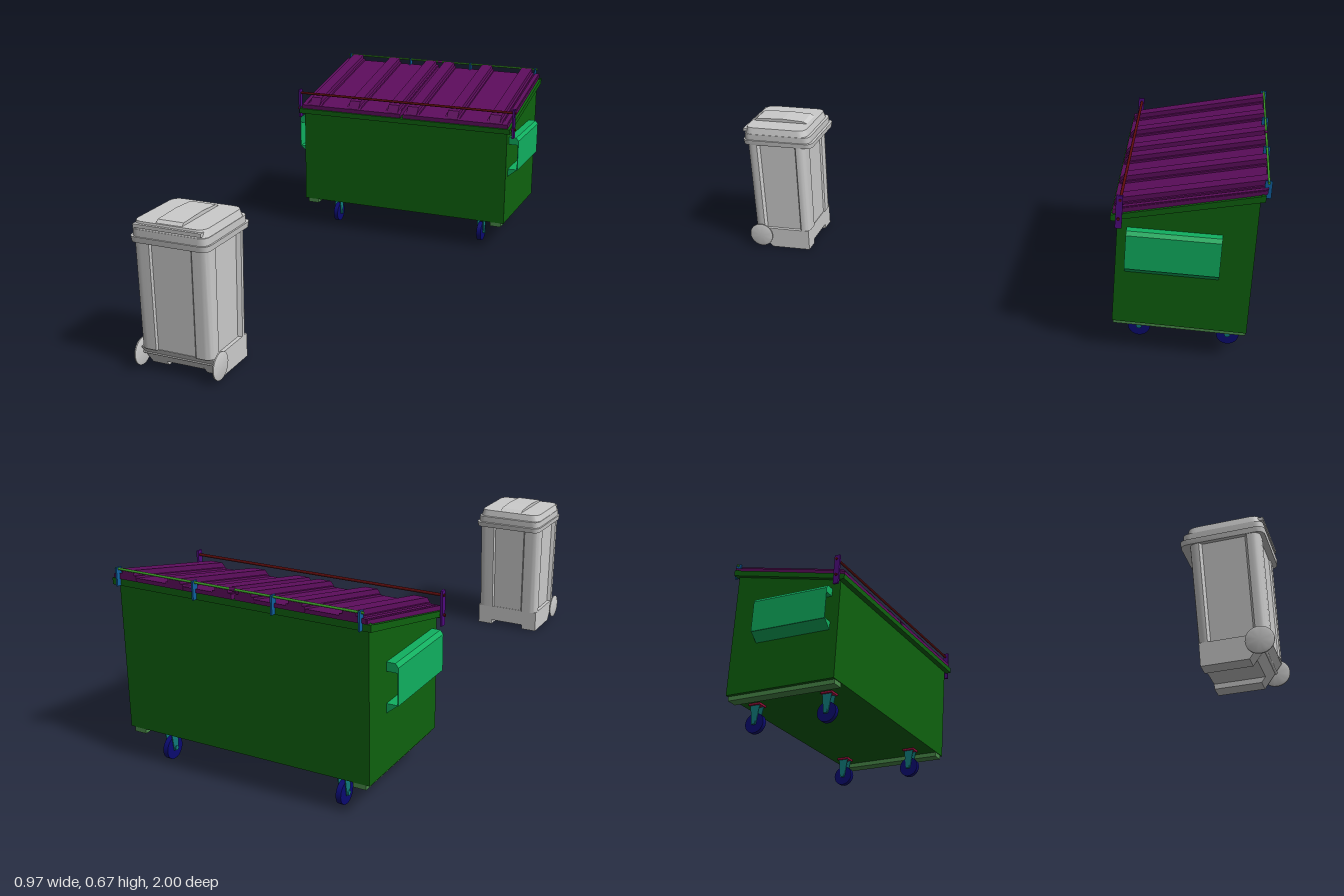
import * as THREE from 'three';
import { toCreasedNormals } from 'three/addons/utils/BufferGeometryUtils.js';

const mat = (color) => new THREE.MeshStandardMaterial({ color, side: THREE.DoubleSide });
const M = {
  green: mat(0x0e620e), purple: mat(0x5e0d5e), teal: mat(0x10b060), rail: mat(0x4a8a4a),
  navy: mat(0x0a0a70), fork: mat(0x0f7a7a), red: mat(0x5a0a0a), plate: mat(0xa01040),
  rod: mat(0x3c9c28), blue: mat(0x1060a0), post: mat(0x500a80), grey: mat(0xcccccc),
};

function add(parent, name, geo, material, x = 0, y = 0, z = 0) {
  const m = new THREE.Mesh(geo, material);
  m.name = name;
  m.position.set(x, y, z);
  parent.add(m);
  return m;
}

// Box given by its limits
function box(parent, name, material, [x0, x1], [y0, y1], [z0, z1]) {
  return add(parent, name, new THREE.BoxGeometry(x1 - x0, y1 - y0, z1 - z0), material,
    (x0 + x1) / 2, (y0 + y1) / 2, (z0 + z1) / 2);
}

const shapeOf = (pts) => new THREE.Shape(pts.map(([a, b]) => new THREE.Vector2(a, b)));

// Side profile of (z, y) points swept from x0 to x1
function prismX(parent, name, material, pts, x0, x1) {
  const g = new THREE.ExtrudeGeometry(shapeOf(pts), { depth: x1 - x0, bevelEnabled: false });
  g.rotateY(-Math.PI / 2).translate(x1, 0, 0);
  return add(parent, name, g, material);
}

// Plan outline swept from y0 to y1, with the bottom scaled by k
function slab(parent, name, shape, y0, y1, k, x, z) {
  let g = new THREE.ExtrudeGeometry(shape, { depth: y1 - y0, bevelEnabled: false, curveSegments: 6 });
  g.rotateX(Math.PI / 2).translate(0, y1, 0);
  const p = g.attributes.position;
  for (let i = 0; i < p.count; i++) {
    const s = k + (1 - k) * (p.getY(i) - y0) / (y1 - y0);
    p.setXYZ(i, p.getX(i) * s, p.getY(i), p.getZ(i) * s);
  }
  g = toCreasedNormals(g, 0.6);
  return add(parent, name, g, M.grey, x, 0, z);
}

function roundedRect(w, d, r) {
  const s = new THREE.Shape(), a = w / 2, b = d / 2;
  s.moveTo(-a + r, -b);
  s.lineTo(a - r, -b); s.quadraticCurveTo(a, -b, a, -b + r);
  s.lineTo(a, b - r); s.quadraticCurveTo(a, b, a - r, b);
  s.lineTo(-a + r, b); s.quadraticCurveTo(-a, b, -a, b - r);
  s.lineTo(-a, -b + r); s.quadraticCurveTo(-a, -b, -a + r, -b);
  return s;
}

const rodX = (r, len) => new THREE.CylinderGeometry(r, r, len, 12).rotateZ(Math.PI / 2);

function buildDumpster() {
  const g = new THREE.Group();
  g.name = 'dumpster';

  // Sloped container with rim
  prismX(g, 'container', M.green,
    [[-0.517, 0.117], [-0.517, 0.515], [-0.967, 0.62], [-0.967, 0.117]], -0.445, 0.445);
  box(g, 'frontRim', M.green, [-0.46, 0.46], [0.5, 0.52], [-0.517, -0.495]);
  box(g, 'backRim', M.green, [-0.46, 0.46], [0.61, 0.632], [-0.982, -0.967]);

  for (const s of [-1, 1]) {
    const span = (a, b) => (s > 0 ? [a, b] : [-b, -a]);
    prismX(g, 'sideRim', M.green,
      [[-0.495, 0.5], [-0.495, 0.52], [-0.982, 0.632], [-0.982, 0.61]], ...span(0.44, 0.46));
    box(g, 'bottomRail', M.rail, span(0.388, 0.432), [0.1, 0.118], [-0.965, -0.52]);

    // Lifting pocket: open sleeve between two flared flanges
    const flange = (pts) => {
      const e = new THREE.ExtrudeGeometry(shapeOf(pts.map(([x, y]) => [x * s, y])),
        { depth: 0.31, bevelEnabled: false });
      add(g, 'pocketFlange', e, M.teal, 0, 0, -0.86);
    };
    flange([[0.445, 0.475], [0.474, 0.475], [0.484, 0.462], [0.484, 0.445], [0.445, 0.445]]);
    flange([[0.445, 0.31], [0.445, 0.342], [0.484, 0.342]]);
    box(g, 'pocketWall', M.teal, span(0.481, 0.484), [0.34, 0.448], [-0.86, -0.55]);

    // Posts that carry the front lock bar
    box(g, 'lockPost', M.post, span(0.464, 0.472), [0.48, 0.597], [-0.534, -0.512]);
    add(g, 'lockPin', rodX(0.005, 0.035), M.red, s * 0.46, 0.515, -0.522);

    // Two lids, each a sloped sheet with three raised ribs
    const lid = new THREE.Group();
    lid.name = 'lid';
    g.add(lid);
    prismX(lid, 'lidSheet', M.purple,
      [[-0.5, 0.521], [-0.5, 0.537], [-0.985, 0.646], [-0.985, 0.633]], ...span(0.006, 0.45));
    const rib = (name, a, b, h) => prismX(lid, name, M.purple,
      [[-0.502, 0.53], [-0.502, 0.537], [-0.527, 0.542 + h], [-0.987, 0.645 + h], [-0.987, 0.636]],
      ...span(a, b));
    for (const x of [0.042, 0.216, 0.393]) {
      rib('lidRib', x - 0.023, x + 0.023, 0.025);
      rib('lidRibFoot', x - 0.032, x + 0.032, 0.008);
    }
    rib('lidEdge', 0.43, 0.447, 0.005);
    rib('lidInnerEdge', 0.006, 0.014, 0.006);

    // Hinge brackets
    for (const x of [0.14, 0.43]) {
      box(g, 'hingeBracket', M.blue, span(x - 0.003, x + 0.003), [0.612, 0.672], [-0.998, -0.975]);
    }

    // Casters
    for (const z of [-0.605, -0.91]) {
      const c = new THREE.Group();
      c.name = 'caster';
      c.position.set(s * 0.326, 0, z);
      g.add(c);
      box(c, 'casterPlate', M.plate, [-0.021, 0.021], [0.11, 0.118], [-0.024, 0.024]);
      add(c, 'casterWheel', new THREE.CylinderGeometry(0.039, 0.039, 0.018, 24).rotateZ(Math.PI / 2),
        M.navy, 0, 0.042, 0);
      add(c, 'casterAxle', rodX(0.008, 0.036), M.fork, 0, 0.042, 0);
      for (const x of [-0.0125, 0.0125]) {
        prismX(c, 'casterFork', M.fork,
          [[-0.02, 0.11], [-0.009, 0.035], [0.009, 0.035], [0.02, 0.11]], x - 0.0015, x + 0.0015);
      }
    }
  }

  // Lock bar across the front and hinge rod across the back
  add(g, 'lockBar', rodX(0.005, 0.95), M.red, 0, 0.582, -0.525);
  add(g, 'hingeRod', rodX(0.004, 0.88), M.rod, 0, 0.667, -0.987);
  add(g, 'hingeCollar', rodX(0.006, 0.018), M.purple, 0, 0.667, -0.987);
  return g;
}

function buildBin() {
  const g = new THREE.Group();
  g.name = 'wheeledBin';
  const cx = -0.19, cz = 0.865;

  // Body: rounded corner columns with shallow recessed panels on the sides
  const a = 0.136, b = 0.118, r = 0.03, d = 0.014;
  const s = new THREE.Shape();
  s.moveTo(-a + r, -b);
  s.lineTo(-0.07, -b); s.lineTo(-0.064, -b + 0.006);
  s.lineTo(0.064, -b + 0.006); s.lineTo(0.07, -b);
  s.lineTo(a - r, -b); s.quadraticCurveTo(a, -b, a, -b + r);
  s.lineTo(a, -0.084); s.lineTo(a - d, -0.076); s.lineTo(a - d, 0.068); s.lineTo(a, 0.076);
  s.lineTo(a, b - r); s.quadraticCurveTo(a, b, a - r, b);
  s.lineTo(0.076, b); s.lineTo(0.07, b - 0.006);
  s.lineTo(-0.07, b - 0.006); s.lineTo(-0.076, b);
  s.lineTo(-a + r, b); s.quadraticCurveTo(-a, b, -a, b - r);
  s.lineTo(-a, 0.076); s.lineTo(-a + d, 0.068); s.lineTo(-a + d, -0.076); s.lineTo(-a, -0.084);
  s.lineTo(-a, -b + r); s.quadraticCurveTo(-a, -b, -a + r, -b);
  slab(g, 'binBody', s, 0.08, 0.45, 0.965, cx, cz);

  // Foot: cut away toward the wheels, raised in the middle
  for (const [x0, x1, y] of [[-0.131, -0.07, 0], [-0.07, 0.07, 0.018], [0.07, 0.131, 0]]) {
    prismX(g, 'binFoot', M.grey,
      [[0.755, y], [0.755, 0.082], [0.975, 0.082], [0.912 + y * 0.8, y]], cx + x0, cx + x1);
  }

  // Rim and stepped lid
  slab(g, 'binRim', roundedRect(0.28, 0.285, 0.03), 0.445, 0.464, 0.985, cx, 0.857);
  slab(g, 'lidSkirt', roundedRect(0.268, 0.27, 0.03), 0.464, 0.488, 1, cx, 0.86);
  slab(g, 'lidShoulder', roundedRect(0.252, 0.245, 0.035), 0.488, 0.513, 1.05, cx, 0.865);
  prismX(g, 'lidPanel', M.grey,
    [[0.755, 0.51], [0.775, 0.521], [0.86, 0.526], [0.97, 0.522], [0.985, 0.51]], cx - 0.046, cx + 0.046);
  box(g, 'lidHandle', M.grey, [cx - 0.12, cx + 0.12], [0.494, 0.506], [0.975, 0.998]);

  // Axle and wheels
  add(g, 'binAxle', rodX(0.006, 0.285), M.grey, cx, 0.055, 0.951);
  for (const sx of [-1, 1]) {
    const w = new THREE.LatheGeometry(
      [[0, -0.005], [0.036, -0.005], [0.047, -0.002], [0.047, 0.002], [0.036, 0.005], [0, 0.005]]
        .map(([x, y]) => new THREE.Vector2(x, y)), 28).rotateZ(Math.PI / 2);
    add(g, 'binWheel', toCreasedNormals(w, 0.5), M.grey, cx + sx * 0.142, 0.055, 0.951);
  }
  return g;
}

export function createModel() {
  const model = new THREE.Group();
  model.name = 'wasteContainers';
  model.add(buildDumpster(), buildBin());
  return model;
}
